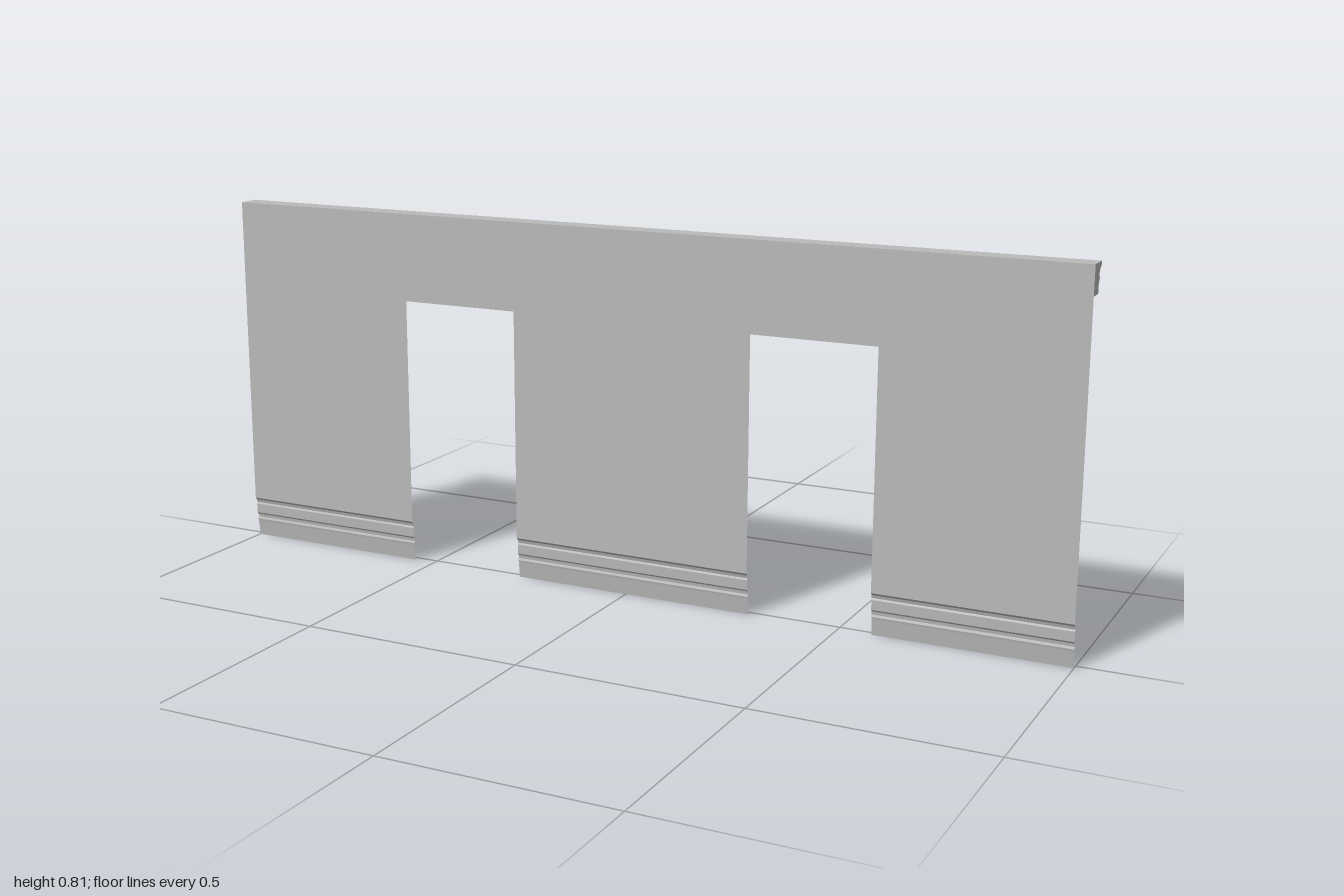
import * as THREE from 'three';

const HALF = 1, TOP = 0.813, FACE = 0.025, SKIRT = 0.095;
const DOORS = [[-0.55, -0.27], [0.295, 0.575]];
const DOOR_TOP = 0.615;

export function createModel() {
  const group = new THREE.Group();
  const plaster = new THREE.MeshStandardMaterial({ color: 0xbababa, side: THREE.DoubleSide });
  plaster.name = 'grey plaster';

  const add = (name, geometry) => {
    const mesh = new THREE.Mesh(geometry, plaster);
    mesh.name = name;
    group.add(mesh);
    return mesh;
  };

  // Thin wall sheet, its lower edge stepping up around the two doorways
  const outline = new THREE.Shape();
  outline.moveTo(-HALF, SKIRT);
  for (const [a, b] of DOORS) {
    outline.lineTo(a, SKIRT);
    outline.lineTo(a, DOOR_TOP);
    outline.lineTo(b, DOOR_TOP);
    outline.lineTo(b, SKIRT);
  }
  outline.lineTo(HALF, SKIRT);
  outline.lineTo(HALF, TOP);
  outline.lineTo(-HALF, TOP);
  add('wall', new THREE.ShapeGeometry(outline)).position.z = FACE;

  // Moulded skirting between the doorways: [y, z] profile swept along x
  const profile = [
    [SKIRT, FACE], [0.09, 0.021], [0.083, 0.019], [0.079, 0.021], [0.057, 0.02],
    [0.053, 0.017], [0.046, 0.016], [0.041, 0.018], [0.036, 0.017], [0, 0.013],
  ];
  const stops = [-HALF, ...DOORS.flat(), HALF];
  for (let i = 0; i < stops.length; i += 2) {
    const a = stops[i], b = stops[i + 1];
    let strip = new THREE.PlaneGeometry(b - a, 1, 1, profile.length - 1);
    const pos = strip.attributes.position;
    for (let v = 0; v < pos.count; v++) {
      const [y, z] = profile[Math.floor(v / 2)];
      pos.setXYZ(v, pos.getX(v) + (a + b) / 2, y, z);
    }
    strip = strip.toNonIndexed();
    strip.computeVertexNormals();
    add('skirting', strip);
  }

  // Cornice along the back: section drawn as (-z, y), swept along x
  const section = new THREE.Shape();
  section.moveTo(-0.0247, 0.751);
  section.lineTo(0.009, 0.751);
  section.lineTo(0.009, 0.774);
  section.lineTo(0.012, 0.775);
  section.quadraticCurveTo(0.018, 0.78, 0.012, 0.786);
  section.lineTo(0.011, 0.788);
  section.quadraticCurveTo(0.012, 0.8, 0.02, 0.802);
  section.quadraticCurveTo(0.025, 0.805, 0.025, 0.808);
  section.lineTo(0.025, TOP);
  section.lineTo(-0.0247, TOP);
  const cornice = new THREE.ExtrudeGeometry(section, {
    depth: 2 * HALF, bevelEnabled: false, curveSegments: 5,
  });
  cornice.rotateY(Math.PI / 2).translate(-HALF, 0, 0);
  add('cornice', cornice);

  return group;
}
